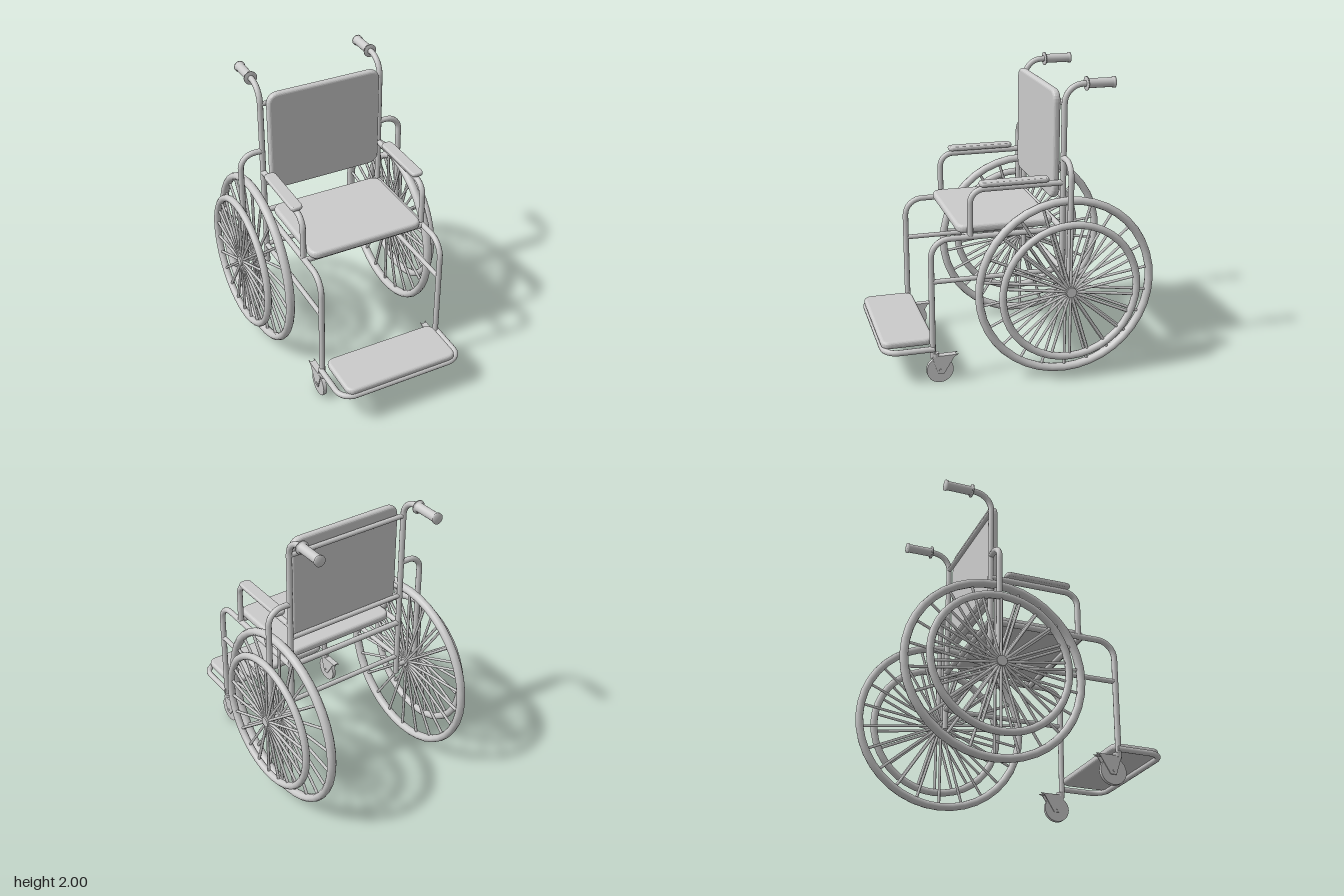
import * as THREE from 'three';

const mat = new THREE.MeshStandardMaterial({ color: 0xcccccc });
const V = (x, y, z) => new THREE.Vector3(x, y, z);
const R = 0.02; // frame tube radius

function add(parent, name, geometry, x = 0, y = 0, z = 0) {
  const m = new THREE.Mesh(geometry, mat);
  m.name = name;
  m.position.set(x, y, z);
  parent.add(m);
  return m;
}

// Bent tube through corner points, each corner rounded with the given bend
function pipe(parent, name, pts, bend = 0.1, r = R) {
  const path = new THREE.CurvePath();
  let from = pts[0];
  for (let i = 1; i < pts.length - 1; i++) {
    const p = pts[i];
    const a = p.clone().add(pts[i - 1].clone().sub(p).setLength(bend));
    const b = p.clone().add(pts[i + 1].clone().sub(p).setLength(bend));
    const k = 0.55;
    path.add(new THREE.LineCurve3(from, a));
    path.add(new THREE.CubicBezierCurve3(a, a.clone().lerp(p, k), b.clone().lerp(p, k), b));
    from = b;
  }
  const last = pts[pts.length - 1];
  path.add(new THREE.LineCurve3(from, last));
  add(parent, name, new THREE.TubeGeometry(path, pts.length > 2 ? 64 : 1, r, 10));
  // flat end caps
  [[pts[0], pts[1]], [last, pts[pts.length - 2]]].forEach(([end, next]) => {
    const cap = add(parent, name + 'Cap', new THREE.CircleGeometry(r, 10), end.x, end.y, end.z);
    cap.lookAt(end.clone().multiplyScalar(2).sub(next));
  });
}

// Cushion with rounded corners and soft edges: w by d, thickness t, lying flat
function cushion(w, d, t, corner, soft) {
  const x = w / 2 - soft, y = d / 2 - soft, c = corner;
  const s = new THREE.Shape();
  s.moveTo(-x + c, -y);
  s.lineTo(x - c, -y).quadraticCurveTo(x, -y, x, -y + c);
  s.lineTo(x, y - c).quadraticCurveTo(x, y, x - c, y);
  s.lineTo(-x + c, y).quadraticCurveTo(-x, y, -x, y - c);
  s.lineTo(-x, -y + c).quadraticCurveTo(-x, -y, -x + c, -y);
  const bt = t * 0.4;
  const g = new THREE.ExtrudeGeometry(s, {
    depth: t - 2 * bt, bevelThickness: bt, bevelSize: soft, bevelSegments: 4, curveSegments: 6,
  });
  return g.translate(0, 0, bt - t / 2).rotateX(-Math.PI / 2);
}

// Ring with spokes and hub in the plane x = 0
function spokedWheel(name, radius, tube, wide, spokes) {
  const g = new THREE.Group();
  g.name = name;
  const ring = new THREE.TorusGeometry(radius, tube, 10, 40).scale(1, 1, wide).rotateY(Math.PI / 2);
  add(g, name + 'Ring', ring);
  for (let i = 0; i < spokes; i++) {
    const s = new THREE.CylinderGeometry(0.01, 0.01, radius, 6).translate(0, radius / 2, 0);
    add(g, 'spoke', s).rotation.x = (i / spokes) * Math.PI * 2;
  }
  add(g, 'hub', new THREE.CylinderGeometry(0.035, 0.035, 0.04, 16).rotateZ(Math.PI / 2));
  return g;
}

function caster() {
  const g = new THREE.Group();
  g.name = 'caster';
  add(g, 'casterWheel', new THREE.CylinderGeometry(0.09, 0.09, 0.026, 24).rotateZ(Math.PI / 2), 0, 0.09, 0.535);
  add(g, 'casterAxle', new THREE.CylinderGeometry(0.01, 0.01, 0.05, 10).rotateZ(Math.PI / 2), 0, 0.09, 0.535);
  // fork cheeks, drawn as (-z, y) then turned to face sideways
  const s = new THREE.Shape();
  s.moveTo(-0.59, 0.19);
  s.lineTo(-0.55, 0.065).lineTo(-0.51, 0.065).lineTo(-0.44, 0.18).lineTo(-0.41, 0.195);
  s.closePath();
  for (const x of [-0.022, 0.016]) {
    const cheek = new THREE.ExtrudeGeometry(s, { depth: 0.006, bevelEnabled: false }).rotateY(Math.PI / 2);
    add(g, 'forkCheek', cheek, x);
  }
  add(g, 'forkTop', new THREE.BoxGeometry(0.044, 0.008, 0.16), 0, 0.19, 0.505);
  add(g, 'casterStem', new THREE.CylinderGeometry(0.025, 0.025, 0.03, 14), 0, 0.2, 0.565);
  return g;
}

export function createModel() {
  const model = new THREE.Group();
  model.name = 'wheelchair';
  const bz = -0.3, hubY = 0.63, fx = 0.44;

  for (const side of [1, -1]) {
    const g = new THREE.Group();
    g.name = side > 0 ? 'leftSide' : 'rightSide';
    model.add(g);
    const x = side * fx;

    // side frame
    pipe(g, 'backPost', [V(x, 0.57, bz), V(x, 1.955, bz), V(x, 1.955, -0.46)], 0.12);
    pipe(g, 'seatRailAndFrontLeg', [V(x, 1, bz), V(x, 1, 0.58), V(x, 0.18, 0.58)], 0.12);
    pipe(g, 'armrestTube', [V(x, 1.315, bz), V(x, 1.315, 0.32), V(x, 1, 0.32)], 0.09);
    pipe(g, 'lowerRail', [V(x, 0.715, bz), V(x, 0.715, 0.58)], 0, 0.017);
    pipe(g, 'outerTube', [V(x, 1.48, bz), V(side * 0.6, 1.48, bz), V(side * 0.6, 0.57, bz)], 0.1);
    add(g, 'armPad', cushion(0.085, 0.46, 0.03, 0.025, 0.01), side * 0.443, 1.35, 0.03);

    // push handle
    const grip = [[0, 0], [0.045, 0], [0.045, 0.01], [0.031, 0.01], [0.031, 0.18], [0.037, 0.18], [0.037, 0.195], [0, 0.195]]
      .map(([a, b]) => new THREE.Vector2(a, b));
    const gripMesh = new THREE.LatheGeometry(grip, 24).rotateX(-Math.PI / 2);
    add(g, 'handleGrip', gripMesh, x, 1.955, -0.438);

    // large wheel, push rim and axle
    const wheel = spokedWheel('rearWheel', 0.588, 0.027, 1.15, 22);
    wheel.position.set(side * 0.53, hubY, bz);
    const rim = spokedWheel('pushRim', 0.457, 0.025, 1, 22);
    rim.position.set(side * 0.635, hubY, bz);
    g.add(wheel, rim);
    pipe(g, 'axle', [V(x, hubY, bz), V(side * 0.65, hubY, bz)], 0, 0.018);

    const c = caster();
    c.position.x = x;
    g.add(c);
  }

  // cross bars: lower rear, seat front and back, backrest bottom and top
  const bars = [[0.715, bz, 0.017], [1, 0.34, R], [1, bz, R], [1.22, bz, 0.017], [1.83, bz, 0.017]];
  for (const [y, z, r] of bars) pipe(model, 'crossBar', [V(-fx, y, z), V(fx, y, z)], 0, r);

  // seat and backrest
  add(model, 'seat', cushion(0.82, 0.65, 0.055, 0.05, 0.02), 0, 1.04, 0.07);
  add(model, 'backrest', cushion(0.82, 0.725, 0.05, 0.06, 0.02), 0, 1.553, -0.262).rotation.x = Math.PI / 2;

  // footrest
  pipe(model, 'footrestTube', [V(-0.45, 0.245, 0.57), V(-0.45, 0.245, 0.9), V(0.45, 0.245, 0.9), V(0.45, 0.245, 0.57)], 0.1);
  add(model, 'footrest', cushion(0.82, 0.35, 0.05, 0.04, 0.02), 0, 0.28, 0.735);

  return model;
}
